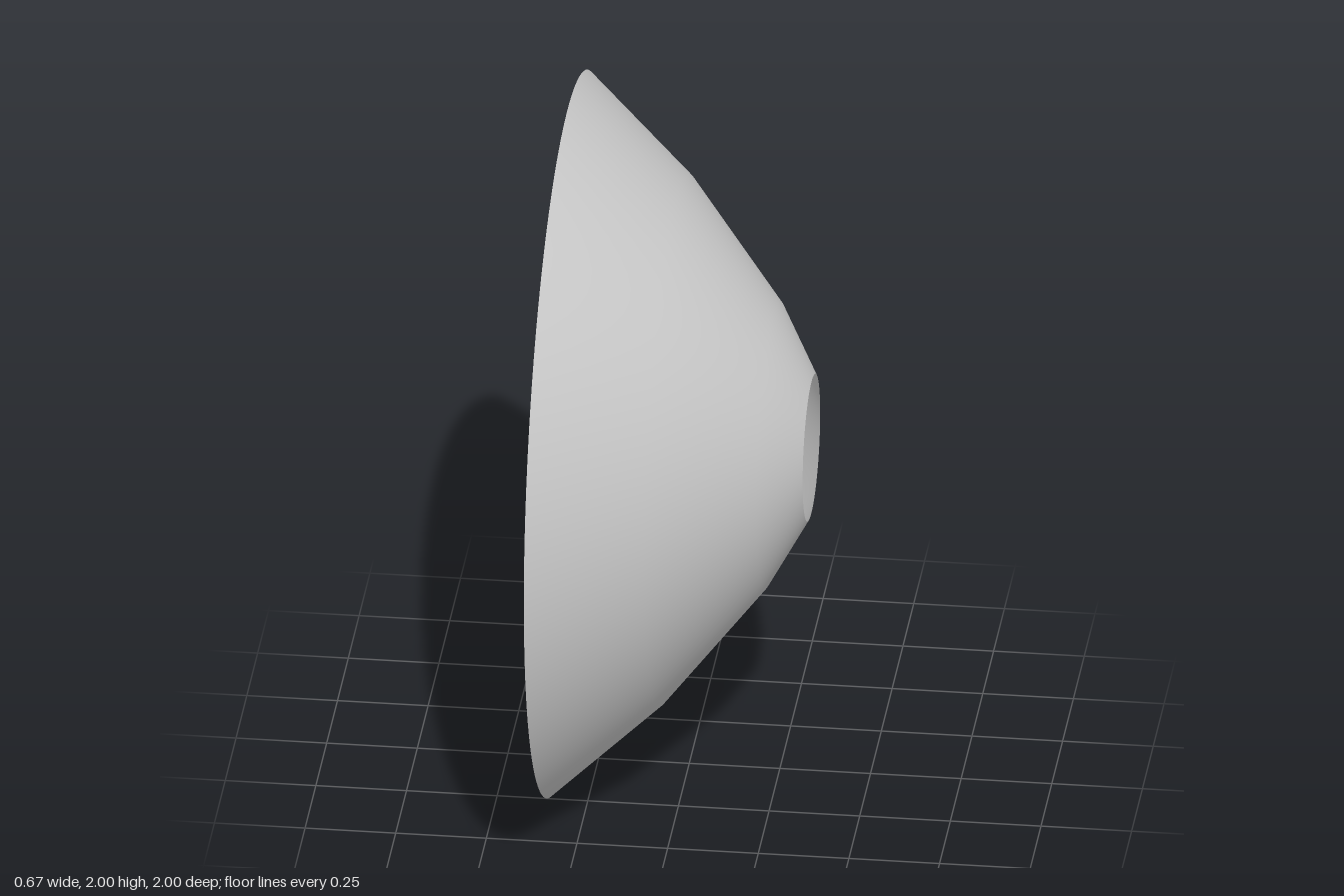
import * as THREE from 'three';

export function createModel() {
  const group = new THREE.Group();
  const material = new THREE.MeshStandardMaterial({ color: 0xcccccc, side: THREE.DoubleSide });

  // Open thin-walled shade: radius and position along the axis, wide rim to small hole
  const profile = [[1, -0.337], [0.73, -0.04], [0.395, 0.23], [0.203, 0.337]]
    .map(([r, a]) => new THREE.Vector2(r, a));
  const geometry = new THREE.LatheGeometry(profile, 128);

  // Lay the axis along x, with the small hole towards +x
  geometry.rotateZ(-Math.PI / 2);
  geometry.translate(0, 1, 0);

  const shade = new THREE.Mesh(geometry, material);
  shade.name = 'shade';
  group.add(shade);
  return group;
}
